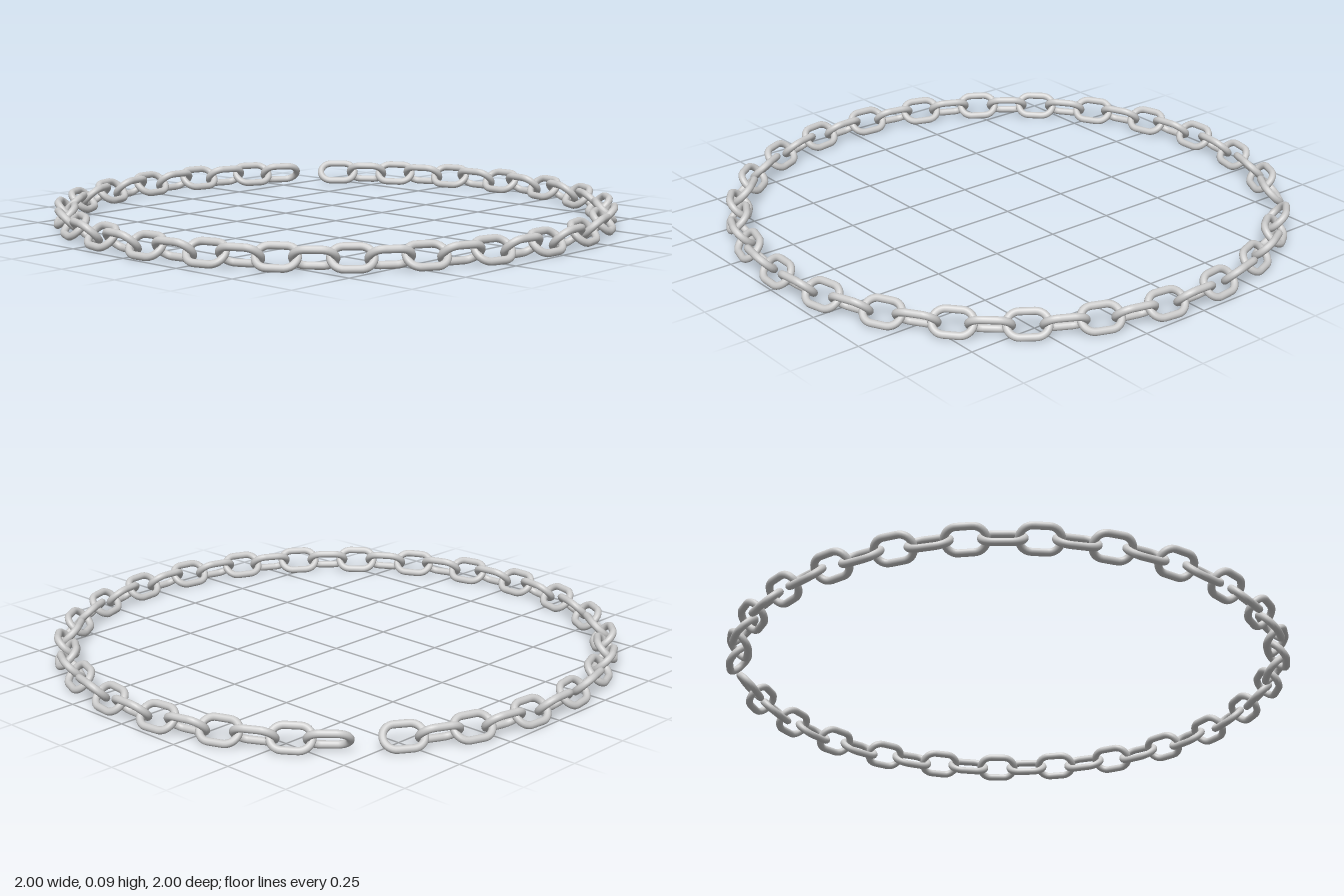
import * as THREE from 'three';

const SLOTS = 51;          // evenly spaced places round the ring, one left open
const OPEN_SLOT = 7;
const RING_RADIUS = 0.955;
const WIRE = 0.013;        // wire radius
const BEND = 0.043;        // radius of the rounded link ends
const STRAIGHT = 0.05;     // length of the straight link sides

// Closed stadium-shaped centreline of one link, long axis along x
class LinkCurve extends THREE.Curve {
  getPoint(t, target = new THREE.Vector3()) {
    const arc = Math.PI * BEND;
    const half = STRAIGHT + arc;
    let s = (t % 1) * 2 * half;
    const sign = s < half ? 1 : -1;
    if (sign < 0) s -= half;
    if (s < STRAIGHT) return target.set(sign * (s - STRAIGHT / 2), -sign * BEND, 0);
    const a = (s - STRAIGHT) / BEND - Math.PI / 2;
    return target.set(
      sign * (STRAIGHT / 2 + BEND * Math.cos(a)), sign * BEND * Math.sin(a), 0);
  }
}

export function createModel() {
  const chain = new THREE.Group();
  chain.name = 'chain';
  const material = new THREE.MeshStandardMaterial({ color: 0xcccccc });
  const geometry = new THREE.TubeGeometry(new LinkCurve(), 40, WIRE, 12, true);
  const height = BEND * Math.SQRT1_2 + WIRE;

  // Interlocking links, leaning alternately outwards and inwards by 45 degrees
  for (let i = OPEN_SLOT + 1; i < OPEN_SLOT + SLOTS; i++) {
    const angle = Math.PI + (i / SLOTS) * Math.PI * 2;
    const link = new THREE.Mesh(geometry, material);
    link.name = `link${i - OPEN_SLOT}`;
    link.position.set(RING_RADIUS * Math.sin(angle), height, RING_RADIUS * Math.cos(angle));
    link.rotation.set((i % 2 ? 1 : -1) * Math.PI / 4, angle, 0, 'YXZ');
    chain.add(link);
  }
  return chain;
}
